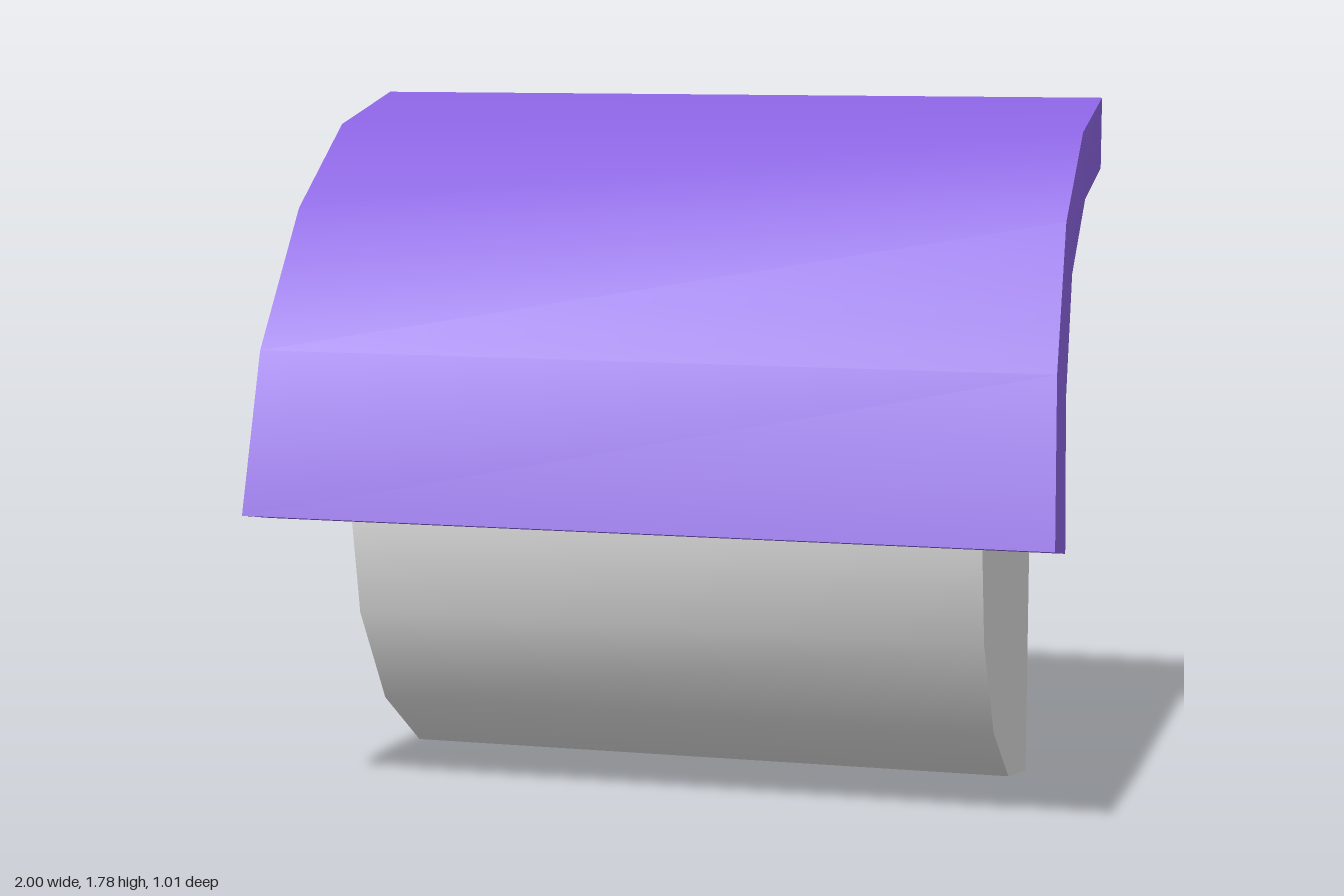
import * as THREE from 'three';
import { toCreasedNormals } from 'three/addons/utils/BufferGeometryUtils.js';

const BACK_Z = -0.504; // flat back plane
const AXIS_Y = 0.8; // height of the half-round axis
const STEP = Math.PI / 8;

// Extrudes a [z, y] profile along x; halfWidth(z, y) sets where each end lies.
function sideProfile(points, halfWidth) {
  const shape = new THREE.Shape(points.map(([z, y]) => new THREE.Vector2(-z, y)));
  const geometry = new THREE.ExtrudeGeometry(shape, { depth: 2, bevelEnabled: false });
  geometry.translate(0, 0, -1).rotateY(Math.PI / 2);
  const p = geometry.attributes.position;
  for (let i = 0; i < p.count; i++) {
    p.setX(i, Math.sign(p.getX(i)) * halfWidth(p.getZ(i), p.getY(i)));
  }
  return toCreasedNormals(geometry, 0.6);
}

export function createModel() {
  const group = new THREE.Group();
  const grey = new THREE.MeshStandardMaterial({ color: 0xd9d9d9 });
  grey.name = 'light grey';
  const purple = new THREE.MeshStandardMaterial({ color: 0x8a63e0 });
  purple.name = 'purple';

  // Half-round body with eight facets
  const bodyProfile = [];
  for (let i = 0; i <= 8; i++) {
    bodyProfile.push([BACK_Z + 0.8 * Math.sin(i * STEP), AXIS_Y - 0.8 * Math.cos(i * STEP)]);
  }
  const body = new THREE.Mesh(sideProfile(bodyProfile, () => 0.797), grey);
  body.name = 'halfRoundBody';

  // Curved cover over the upper half, flaring slightly towards its lower edge
  const outer = [[BACK_Z, 1.78], [-0.135, 1.708], [0.17, 1.51], [0.405, 1.175], [0.504, 0.777]];
  const inner = [[BACK_Z, 1.6], [-0.2, 1.541], [0.046, 1.376], [0.24, 1.1], [0.325, 0.742]];
  const flare = [0.965, 0.965, 0.968, 0.984, 1];
  const coverWidth = (z, y) => flare[Math.round(Math.atan2(z - BACK_Z, y - AXIS_Y) / STEP)];
  const cover = new THREE.Mesh(sideProfile([...outer, ...inner.reverse()], coverWidth), purple);
  cover.name = 'curvedCover';

  group.add(body, cover);
  return group;
}
